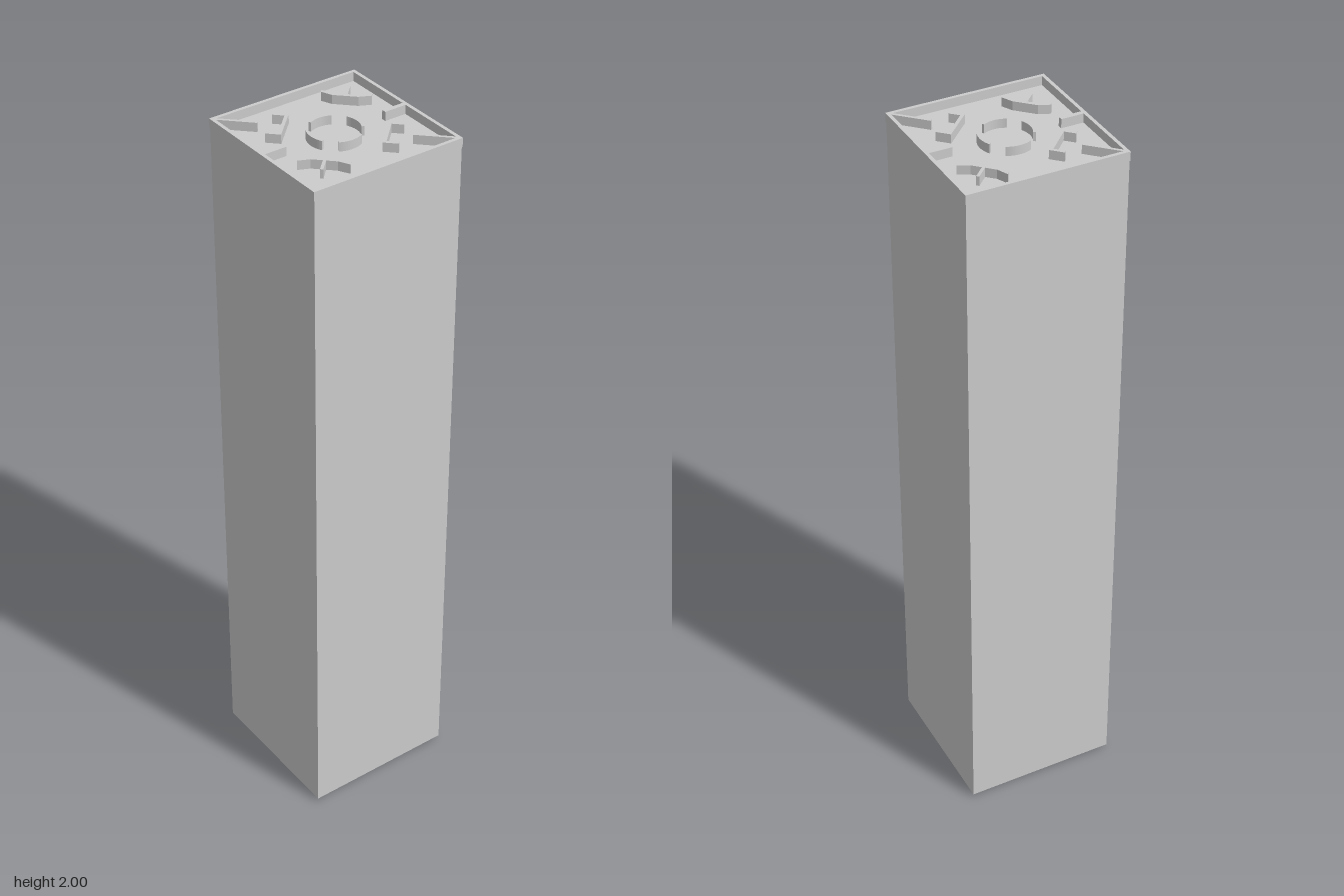
import * as THREE from 'three';

const TOP = 2, FLOOR = 1.975;
const material = new THREE.MeshStandardMaterial({ color: 0xcccccc, flatShading: true });

// Extrude a plan outline (x, z) from the recess floor up to the top
function relief(name, shape) {
  const geometry = new THREE.ExtrudeGeometry(shape, { depth: TOP - FLOOR, bevelEnabled: false, curveSegments: 8 });
  geometry.rotateX(Math.PI / 2).translate(0, TOP, 0);
  const mesh = new THREE.Mesh(geometry, material);
  mesh.name = name;
  return mesh;
}

const outline = (points) => new THREE.Shape(points.map(([x, z]) => new THREE.Vector2(x, z)));
const diamond = (r) => [[r, 0], [0, r], [-r, 0], [0, -r]];

export function createModel() {
  const model = new THREE.Group();
  model.name = 'squareColumn';

  // Four-sided shaft with a very shallow pyramidal underside
  const profile = [[0, 0], [0.309, 0.01], [0.309, FLOOR], [0, FLOOR]].map(([r, y]) => new THREE.Vector2(r, y));
  const shaft = new THREE.Mesh(new THREE.LatheGeometry(profile, 4), material);
  shaft.name = 'shaft';
  model.add(shaft);

  // Raised rim around the recessed top
  const rim = outline(diamond(0.311));
  rim.holes.push(outline(diamond(0.297)));
  model.add(relief('rim', rim));

  // Broken ring in the centre
  for (let i = 0; i < 4; i++) {
    const a = i * Math.PI / 2 + 0.29, b = (i + 1) * Math.PI / 2 - 0.29;
    const arc = new THREE.Shape();
    arc.absarc(0, 0, 0.072, a, b, false);
    arc.absarc(0, 0, 0.065, b, a, true);
    model.add(relief('ringSegment', arc));
  }

  // Brackets and corner spokes, mirrored left and right
  for (const s of [1, -1]) {
    const bracket = [[0.123, -0.052], [0.163, -0.052], [0.163, -0.043], [0.132, -0.043],
      [0.132, 0.044], [0.163, 0.044], [0.163, 0.053], [0.123, 0.053]];
    model.add(relief('bracket', outline(bracket.map(([x, z]) => [s * x, z]))));
    const spoke = [[0.191, -0.004], [0.293, -0.004], [0.297, 0], [0.293, 0.004], [0.191, 0.004]];
    model.add(relief('cornerSpoke', outline(spoke.map(([x, z]) => [s * x, z]))));

    // Short diagonal ribs on two opposite sides
    const rib = [[0.1, -0.109], [0.144, -0.153], [0.153, -0.144], [0.109, -0.1]];
    model.add(relief('diagonalRib', outline(rib.map(([x, z]) => [s * x, s * z]))));

    // Bent bars with a stem, front and back
    const inner = s > 0 ? 0.15 : 0.167;
    const bar = [[-0.064, 0.022], [-0.034, 0.01], [-0.004, 0.01], [-0.004, 0.053], [0.004, 0.053], [0.004, 0.01],
      [0.032, 0.01], [0.064, 0.02], [0.064, 0.011], [0.032, 0], [-0.034, 0], [-0.064, 0.012]];
    model.add(relief('stemmedBar', outline(bar.map(([x, z]) => [x, s * (inner + z)]))));
  }
  return model;
}
